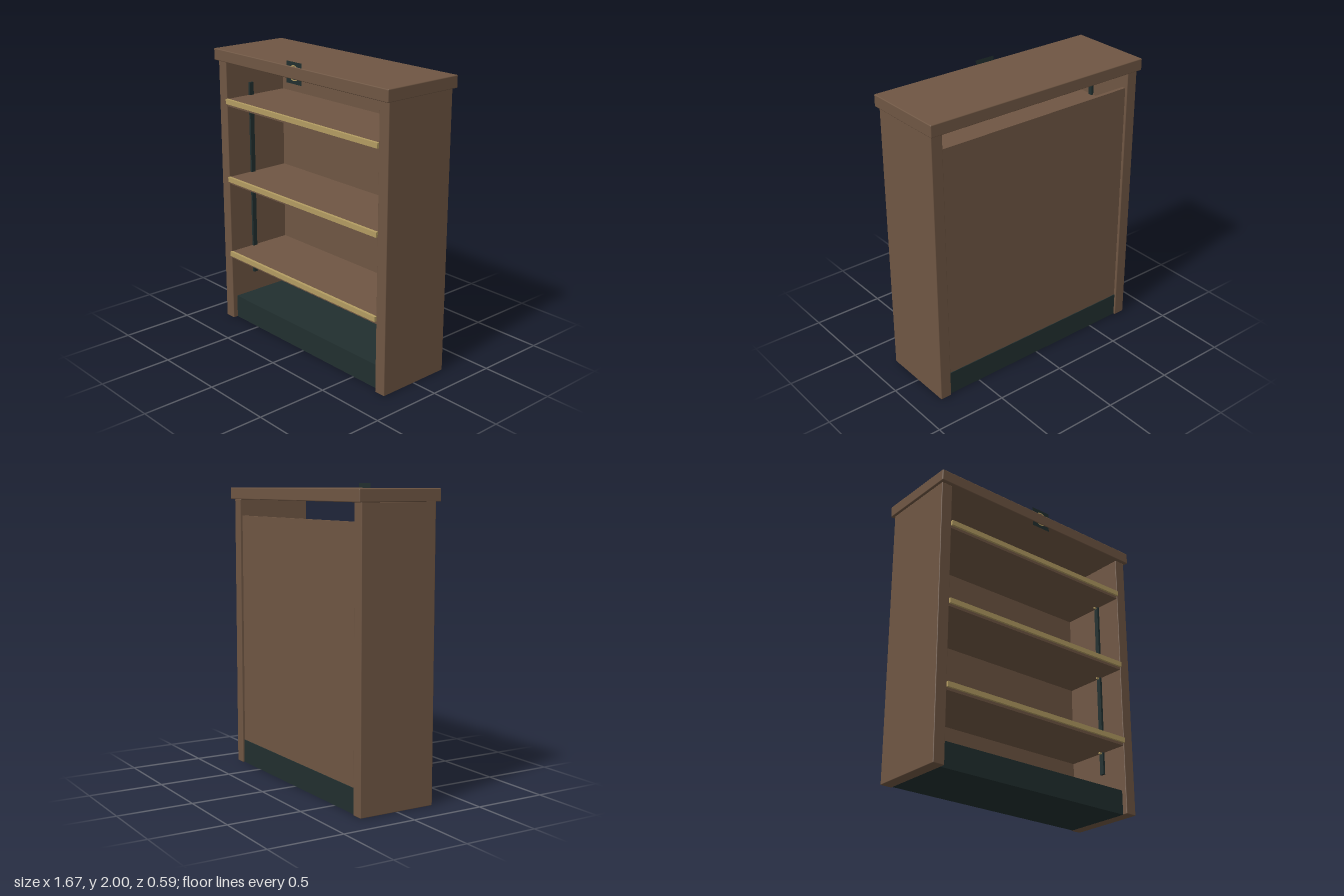
import * as THREE from 'three';
import { RoundedBoxGeometry } from 'three/addons/geometries/RoundedBoxGeometry.js';

export function createModel() {
  const model = new THREE.Group();
  model.name = 'bookcase';

  const material = (name, color, side = THREE.FrontSide) => {
    const m = new THREE.MeshStandardMaterial({ color, side });
    m.name = name;
    return m;
  };
  const wood = material('walnut wood', 0x6f5643);
  const dark = material('dark green metal', 0x212f2f, THREE.DoubleSide);
  const brass = material('brass', 0xb39c62, THREE.DoubleSide);

  const add = (name, geometry, mat, x = 0, y = 0, z = 0) => {
    const mesh = new THREE.Mesh(geometry, mat);
    mesh.name = name;
    mesh.position.set(x, y, z);
    model.add(mesh);
    return mesh;
  };
  // Box given by its extents; a radius softens its edges
  const box = (name, mat, [x0, x1], [y0, y1], [z0, z1], radius = 0) => {
    const size = [x1 - x0, y1 - y0, z1 - z0];
    const geometry = radius
      ? new RoundedBoxGeometry(...size, 2, radius)
      : new THREE.BoxGeometry(...size);
    return add(name, geometry, mat, (x0 + x1) / 2, (y0 + y1) / 2, (z0 + z1) / 2);
  };

  // Carcass
  box('topBoard', wood, [-0.834, 0.834], [1.89, 1.97], [-0.294, 0.294], 0.006);
  box('backPanel', wood, [-0.74, 0.74], [0.015, 1.775], [-0.25, -0.225]);
  box('plinth', dark, [-0.74, 0.74], [0.001, 0.165], [-0.255, 0.232]);

  for (const s of [-1, 1]) {
    const side = s < 0 ? 'right' : 'left';
    box(side + 'SidePanel', wood, s < 0 ? [-0.818, -0.738] : [0.738, 0.818],
      [0, 1.892], [-0.268, 0.268], 0.005);
    // Upright rail that carries the shelves
    box(side + 'ShelfRail', dark, s < 0 ? [-0.74, -0.722] : [0.722, 0.74],
      [0.315, 1.72], [0.05, 0.082]);
  }

  // Shelves with brass lipping and support pins
  for (const top of [0.522, 1.078, 1.633]) {
    box('shelf', wood, [-0.737, 0.737], [top - 0.052, top - 0.002], [-0.225, 0.264]);
    box('shelfTrim', brass, [-0.737, 0.737], [top - 0.034, top], [0.26, 0.28]);
    for (const x of [-0.718, 0.718]) {
      const pin = add('shelfPin', new THREE.CylinderGeometry(0.007, 0.007, 0.03, 10),
        brass, x, top - 0.058, 0.066);
      pin.rotation.z = Math.PI / 2;
    }
  }

  // Thin ornament plate set into the top board, with a ring
  add('ornamentPlate', new THREE.PlaneGeometry(0.145, 0.14), dark, 0, 1.93, 0.289);
  add('ornamentRing', new THREE.RingGeometry(0.042, 0.05, 32), brass, 0, 1.93, 0.291);

  return model;
}
